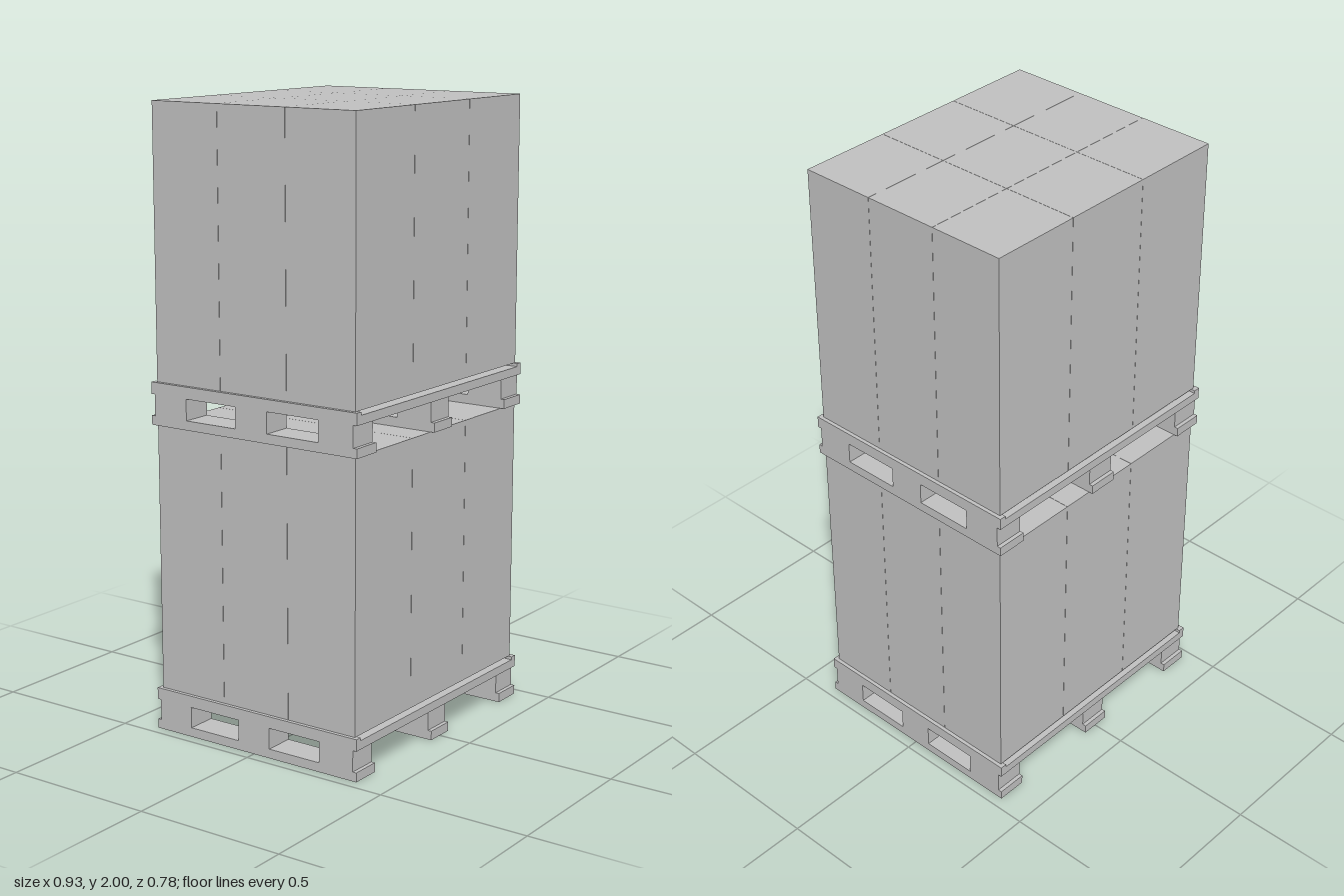
import * as THREE from 'three';

const grey = new THREE.MeshStandardMaterial({ color: 0xc0c0c0 });
grey.name = 'light grey';

// Box given by its lower and upper limits on each axis
function block(name, [x0, x1], [y0, y1], [z0, z1]) {
  const mesh = new THREE.Mesh(new THREE.BoxGeometry(x1 - x0, y1 - y0, z1 - z0), grey);
  mesh.position.set((x0 + x1) / 2, (y0 + y1) / 2, (z0 + z1) / 2);
  mesh.name = name;
  return mesh;
}

const W = 0.465, D = 0.388;      // pallet half width and half depth
const deckLow = 0.098, deckTop = 0.126, palletTop = 0.136;

function createPallet() {
  const pallet = new THREE.Group();
  pallet.name = 'pallet';

  // Three runners along z, each with a bottom board and three feet
  for (const x of [-W + 0.05, 0, W - 0.05]) {
    const span = [x - 0.05, x + 0.05];
    pallet.add(block('runnerBoard', span, [0, 0.03], [-D, D]));
    for (const z of [[-0.375, -0.25], [-0.06, 0.06], [0.25, 0.375]]) {
      pallet.add(block('foot', span, [0.03, deckLow + 0.004], z));
    }
  }

  // Deck slats across x, with gaps between them
  const count = 7, gap = 0.028;
  const slat = (2 * D - gap * (count - 1)) / count;
  for (let i = 0; i < count; i++) {
    const z = -D + i * (slat + gap);
    pallet.add(block('deckSlat', [-W + 0.022, W - 0.022], [deckLow, deckTop], [z, z + slat]));
  }

  // Raised side rails carrying the load
  for (const s of [-1, 1]) {
    const x = s * (W - 0.011);
    pallet.add(block('sideRail', [x - 0.011, x + 0.011], [deckLow, palletTop], [-D, D]));
  }
  return pallet;
}

// Three by three tall cartons, packed tightly
function createLoad() {
  const load = new THREE.Group();
  load.name = 'cartonStack';
  const w = 0.906 / 3, d = 0.75 / 3, seam = 0.0004;
  for (let i = -1; i <= 1; i++) {
    for (let j = -1; j <= 1; j++) {
      load.add(block('carton',
        [(i - 0.5) * w + seam, (i + 0.5) * w - seam],
        [palletTop, 1],
        [(j - 0.5) * d + seam, (j + 0.5) * d - seam]));
    }
  }
  return load;
}

export function createModel() {
  const model = new THREE.Group();
  model.name = 'stackedPallets';
  // Two identical loaded pallets, one on top of the other
  for (const y of [0, 1]) {
    const tier = new THREE.Group();
    tier.name = y ? 'upperTier' : 'lowerTier';
    tier.add(createPallet(), createLoad());
    tier.position.y = y;
    model.add(tier);
  }
  return model;
}
